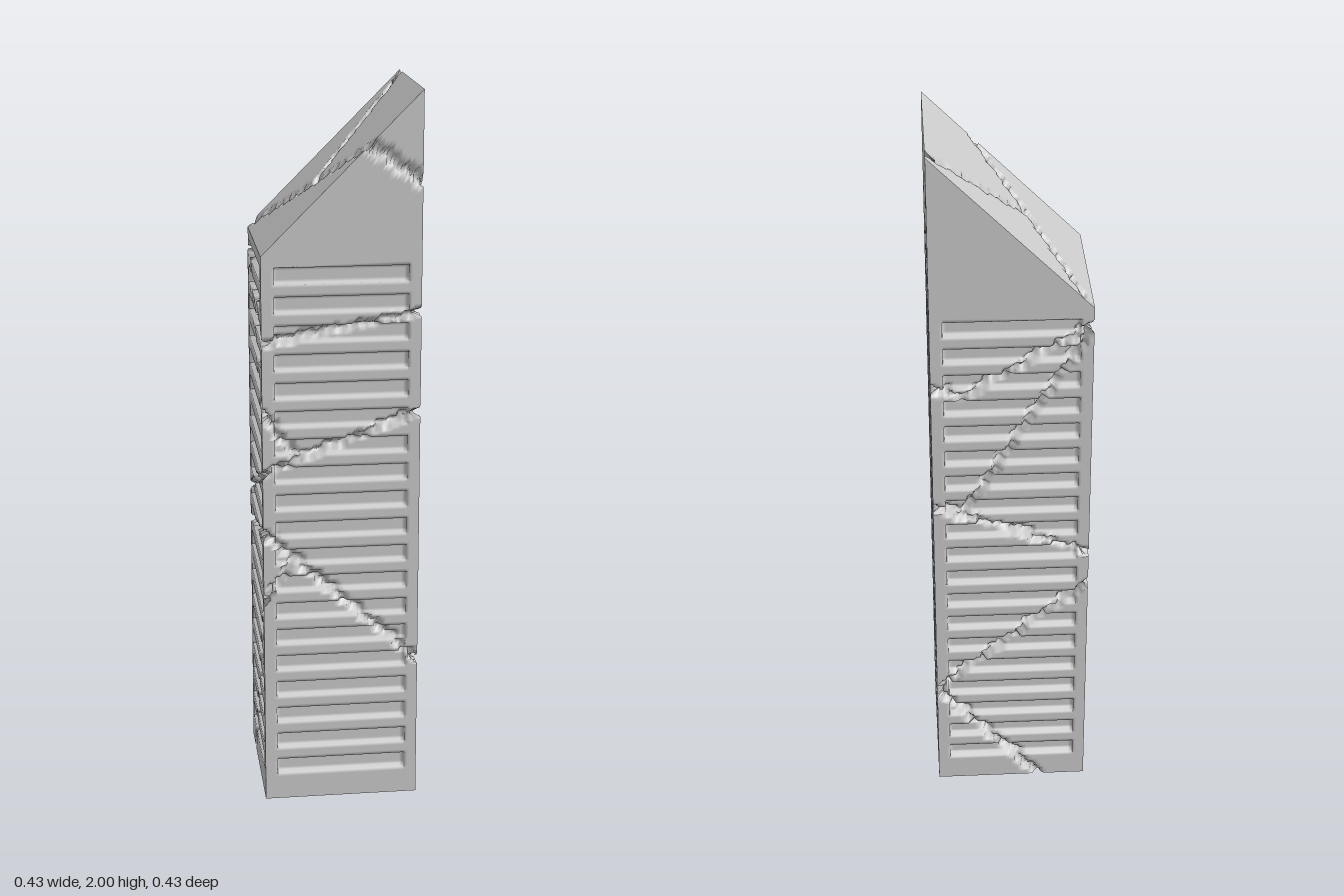
import * as THREE from 'three';

const H = 0.215;            // half width of the tower
const SLOT_W = 0.18;        // half width of a louver slot
const SLOT_H = 0.0215;      // half height of a louver slot
const SLOT_DEPTH = 0.02;
const ROWS = 19, FIRST = 0.1, STEP = 0.0787;
const CRACK_W = 0.011, CRACK_DEPTH = 0.026;
const roofY = x => 1.785 + x;

// Depth of the jagged cracks at a point; each crack is [u0, v0, u1, v1]
function crackDepth(cracks, u, v) {
  let depth = 0;
  for (const [u0, v0, u1, v1] of cracks) {
    const du = u1 - u0, dv = v1 - v0, len = Math.hypot(du, dv);
    const s = ((u - u0) * du + (v - v0) * dv) / len;
    const t = Math.min(Math.max(s, 0), len);
    const fade = Math.min(1, t / 0.04, (len - t) / 0.04);
    const wobble = 0.004 * fade * (Math.sin(t * 85 + u0 * 40) + Math.sin(t * 197 + v0 * 9));
    const across = ((u - u0) * -dv + (v - v0) * du) / len - wobble;
    const dist = Math.hypot(across, s - t);
    depth = Math.max(depth, CRACK_DEPTH * Math.min(1, 1.6 * (1 - dist / CRACK_W)));
  }
  return depth;
}

// Evenly spaced values from a towards b, without b
const steps = (a, b, n) => Array.from({ length: n }, (_, i) => a + (b - a) * i / n);

// Grid lines that follow the slot edges, with a tight pair at each edge for the slot walls
const lip = 0.001;
const columns = [
  ...steps(-H, -SLOT_W - lip, 4), -SLOT_W - lip,
  ...steps(-SLOT_W + lip, SLOT_W - lip, 40), SLOT_W - lip,
  ...steps(SLOT_W + lip, H, 4), H,
];
const rowLines = [];
let last = 0;
for (let i = 0; i < ROWS; i++) {
  const y = FIRST + i * STEP;
  rowLines.push(...steps(last, y - SLOT_H - lip, i ? 4 : 8), y - SLOT_H - lip);
  rowLines.push(...steps(y - SLOT_H + lip, y + SLOT_H - lip, 5), y + SLOT_H - lip);
  last = y + SLOT_H + lip;
}
const upper = steps(0, 1, 40).concat(1);   // rows stretched up to the slanted top
const rowCount = rowLines.length + upper.length;

function inSlot(u, y) {
  const i = Math.round((y - FIRST) / STEP);
  return i >= 0 && i < ROWS && Math.abs(u) < SLOT_W && Math.abs(y - FIRST - i * STEP) < SLOT_H;
}

const inset = (u, d) => Math.min(Math.max(u, -H + d), H - d);

// One wall: a grid pressed inwards at slots and cracks
function wall(name, angle, top, cracks, material) {
  const geo = new THREE.PlaneGeometry(1, 1, columns.length - 1, rowCount - 1);
  const pos = geo.attributes.position;
  for (let r = 0; r < rowCount; r++) {
    const k = rowCount - 1 - r;
    columns.forEach((u, c) => {
      const y = k < rowLines.length ? rowLines[k]
        : last + (top(u) - last) * upper[k - rowLines.length];
      const crack = crackDepth(cracks, u, y);
      const d = crack + (inSlot(u, y) ? SLOT_DEPTH : 0);
      pos.setXYZ(r * columns.length + c, inset(u, crack), Math.min(y, top(u) - crack), H - d);
    });
  }
  geo.computeVertexNormals();
  const mesh = new THREE.Mesh(geo, material);
  mesh.name = name;
  mesh.rotation.y = angle;
  return mesh;
}

// Slanted roof with the same kind of cracks
function roof(cracks, material) {
  const geo = new THREE.PlaneGeometry(2 * H, 2 * H, 60, 60);
  const pos = geo.attributes.position;
  for (let i = 0; i < pos.count; i++) {
    const x = pos.getX(i), z = -pos.getY(i);
    const d = crackDepth(cracks, x, z);
    pos.setXYZ(i, inset(x, d), roofY(x) - d, inset(z, d));
  }
  geo.computeVertexNormals();
  const mesh = new THREE.Mesh(geo, material);
  mesh.name = 'slantedRoof';
  return mesh;
}

export function createModel() {
  const group = new THREE.Group();
  group.name = 'crackedTower';
  const material = new THREE.MeshStandardMaterial({ color: 0xcccccc });

  group.add(wall('frontWall', 0, u => roofY(u), [
    [0.075, 1.86, H, 1.76], [-H, 1.33, H, 1.41], [-H, 0.97, H, 1.135],
    [-H, 1.14, -0.12, 1.01], [-H, 0.8, H, 0.41], [-H, 0.6, -0.13, 0.72],
  ], material));

  group.add(wall('leftWall', Math.PI / 2, () => 2, [
    [-H, 1.76, 0.18, 1.35], [0.18, 2, 0.04, 1.5], [-H, 1.41, H, 1.34],
    [-H, 1.135, H, 0.965], [0.07, 1.02, 0.04, 0.36], [-H, 0.41, H, 0.33],
  ], material));

  group.add(wall('backWall', Math.PI, u => roofY(-u), [
    [-H, 1.34, -0.13, 1.31], [-0.13, 1.31, H, 1.52], [H, 1.52, -0.14, 0.93],
    [-H, 0.965, H, 0.8], [-H, 0.33, H, 0.7], [-H, 0.33, 0.08, 0],
  ], material));

  group.add(wall('rightWall', -Math.PI / 2, () => roofY(-H), [
    [-H, 1.52, H, 1.14], [-H, 1.52, H, 1.33], [-H, 0.8, H, 0.97],
    [-H, 0.7, H, 0.8], [H, 0.6, -0.13, 0], [-H, 1.57, -H, 1.52],
  ], material));

  group.add(roof([
    [-0.205, -H, -0.06, 0.02], [-0.06, 0.02, 0.08, H], [-0.05, 0.02, H, -0.185],
  ], material));

  // Flat underside
  const base = new THREE.Mesh(new THREE.PlaneGeometry(2 * H, 2 * H), material);
  base.name = 'base';
  base.rotation.x = Math.PI / 2;
  group.add(base);

  return group;
}
